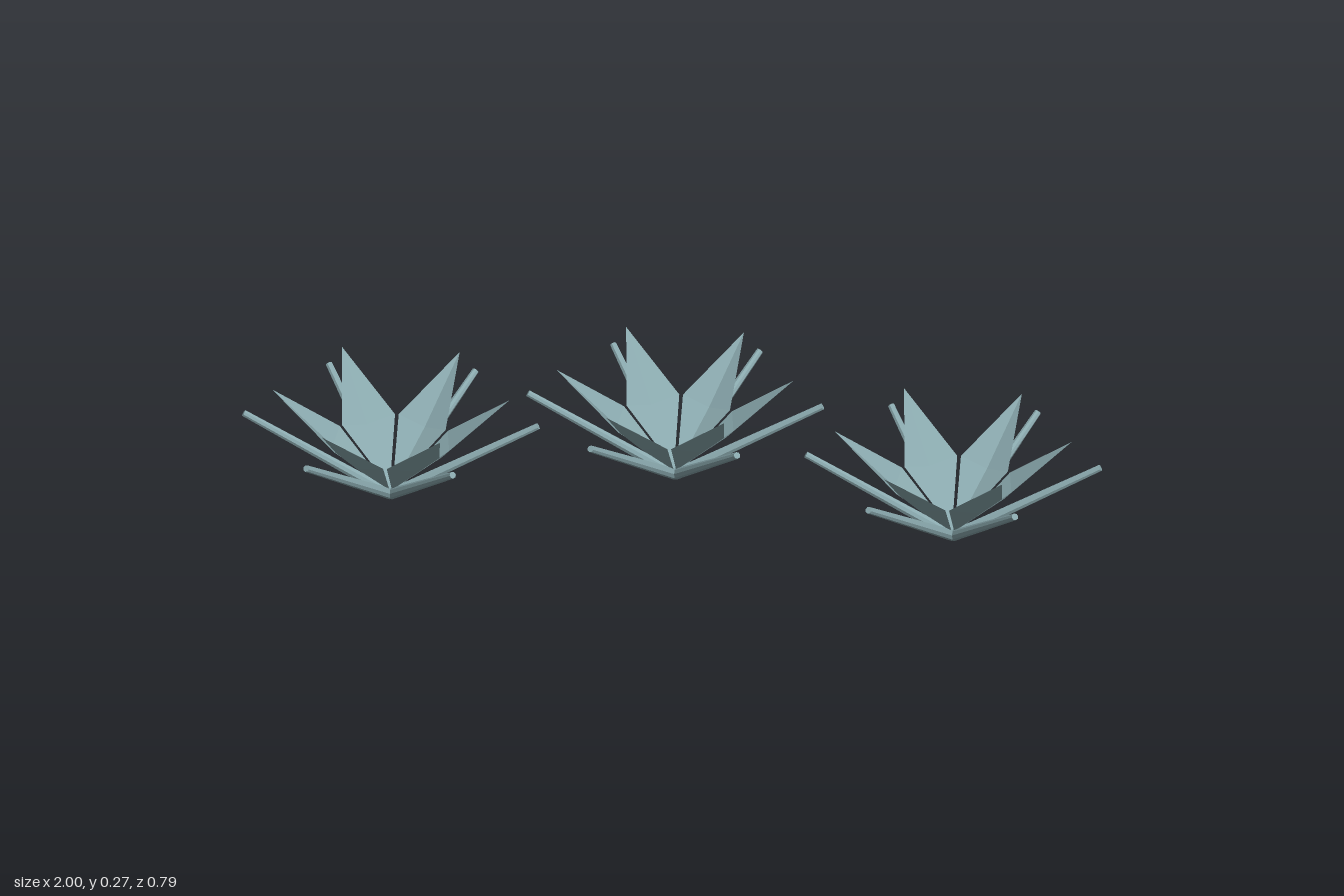
import * as THREE from 'three';

const rad = THREE.MathUtils.degToRad;

// Kite-shaped petal pointing along +x, creased down its midline
function petalGeometry(reach) {
  const base = [0.006, 0.025, 0];
  const mid = [0.135 * reach, 0.13, 0];
  const tip = [0.275 * reach, 0.268, 0];
  const left = [0.125 * reach, 0.147, -0.067];
  const right = [0.125 * reach, 0.147, 0.067];
  const faces = [base, mid, left, left, mid, tip, base, right, mid, mid, right, tip];
  const g = new THREE.BufferGeometry();
  g.setAttribute('position', new THREE.Float32BufferAttribute(faces.flat(), 3));
  g.computeVertexNormals();
  return g;
}

// Tapered rod from the root of the plant outwards along +x
function stemMesh(reach, material) {
  const start = new THREE.Vector3(0, 0.0115, 0);
  const end = new THREE.Vector3(reach, 0.204, 0);
  const dir = end.clone().sub(start);
  const mesh = new THREE.Mesh(new THREE.CylinderGeometry(0.008, 0.013, dir.length(), 8), material);
  mesh.position.copy(start).add(end).multiplyScalar(0.5);
  mesh.quaternion.setFromUnitVectors(new THREE.Vector3(0, 1, 0), dir.normalize());
  mesh.name = 'stem';
  return mesh;
}

function createPlant(leafMaterial) {
  const plant = new THREE.Group();
  plant.name = 'plant';
  // Six directions: two along x, four diagonal and slightly shorter
  for (const side of [0, 180]) {
    for (const turn of [-1, 0, 1]) {
      const petal = new THREE.Mesh(petalGeometry(turn ? 0.977 : 1), leafMaterial);
      petal.name = 'petal';
      petal.rotation.y = rad(side + turn * 59.5);
      plant.add(petal);

      const stem = new THREE.Group();
      stem.name = 'stemArm';
      stem.add(stemMesh(turn ? 0.316 : 0.341, leafMaterial));
      stem.rotation.y = rad(side + turn * 57.5);
      plant.add(stem);
    }
  }
  return plant;
}

export function createModel() {
  const model = new THREE.Group();
  model.name = 'plantCluster';
  const leaf = new THREE.MeshStandardMaterial({ color: 0x8aa9ae });
  leaf.name = 'paleTeal';
  leaf.flatShading = true;
  leaf.side = THREE.DoubleSide;
  for (const [x, z] of [[-0.655, 0.041], [-0.013, -0.123], [0.655, 0.123]]) {
    const plant = createPlant(leaf);
    plant.position.set(x, 0, z);
    model.add(plant);
  }
  return model;
}
